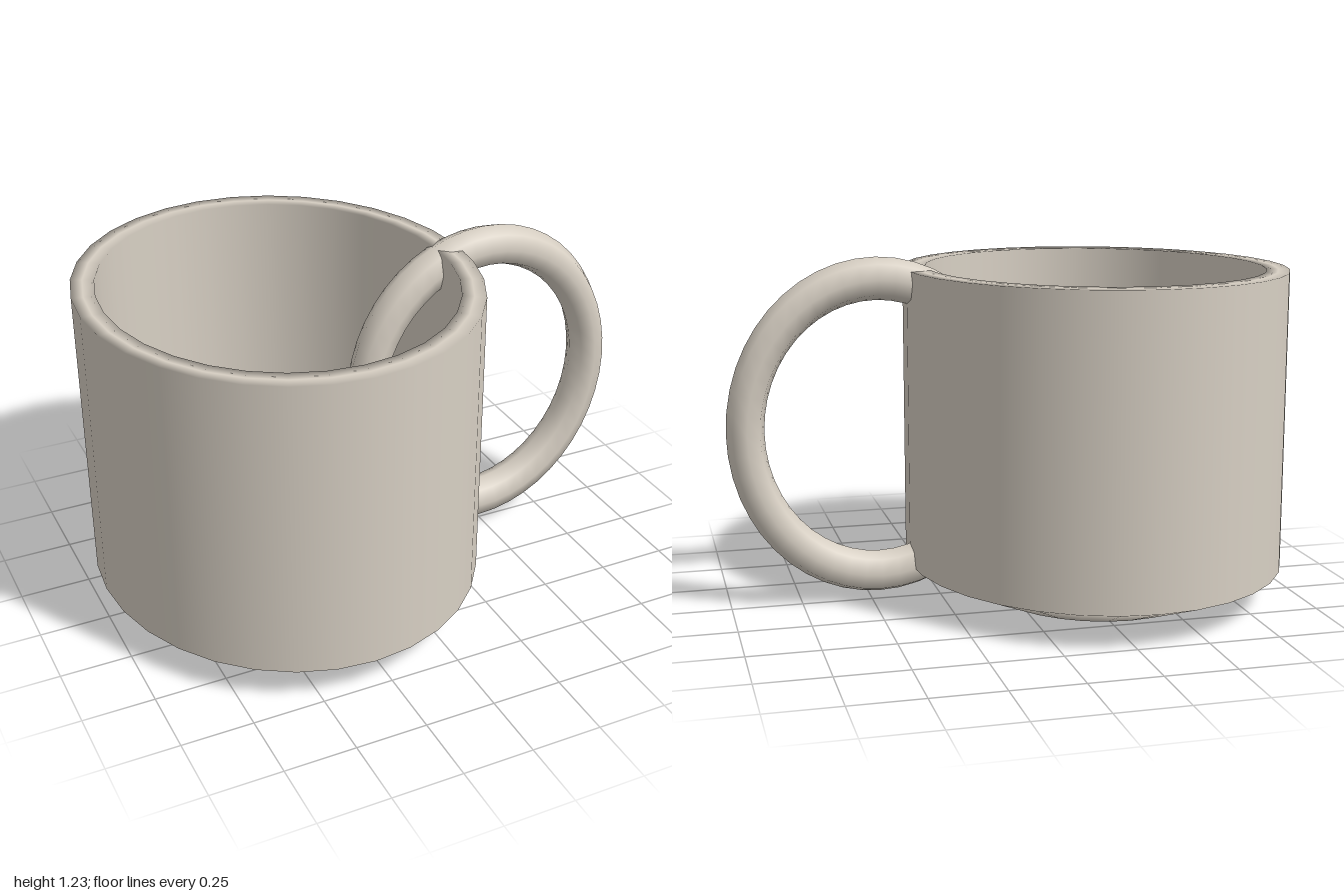
import * as THREE from 'three';

export function createModel() {
  const clay = new THREE.MeshStandardMaterial({ color: 0xd8d0c4 });
  clay.name = 'warm grey ceramic';
  const oval = 0.883; // the whole mug is narrower along x

  // Cup: one closed profile, from the base up the outside, over the rim and down inside
  const profile = [
    [0, 0], [0.465, 0], [0.77, 0.12], [0.77, 1.18],
    [0.725, 1.18], [0.68, 1.18], [0.68, 0.12], [0, 0.12],
  ].map(([r, y]) => new THREE.Vector2(r, y));
  const cupGeometry = new THREE.LatheGeometry(profile, 32);

  // Keep the walls evenly shaded: level normals at the ends of the outer and inner wall
  const wallSide = { 2: 1, 3: 1, 5: -1, 6: -1 };
  const { position, normal } = cupGeometry.attributes;
  for (let i = 0; i < position.count; i++) {
    const side = wallSide[i % profile.length];
    if (!side) continue;
    const n = new THREE.Vector3(position.getX(i), 0, position.getZ(i)).normalize().multiplyScalar(side);
    normal.setXYZ(i, n.x, n.y, n.z);
  }
  const cup = new THREE.Mesh(cupGeometry, clay);
  cup.name = 'cup';
  cup.position.x = -0.32;
  cup.scale.x = oval;

  // Handle: a full ring passing through the cup wall
  const handle = new THREE.Mesh(new THREE.TorusGeometry(0.525, 0.075, 8, 48), clay);
  handle.name = 'handle';
  handle.position.set(0.47, 0.63, 0);
  handle.scale.x = oval;

  const mug = new THREE.Group();
  mug.name = 'mug';
  mug.add(cup, handle);
  return mug;
}
